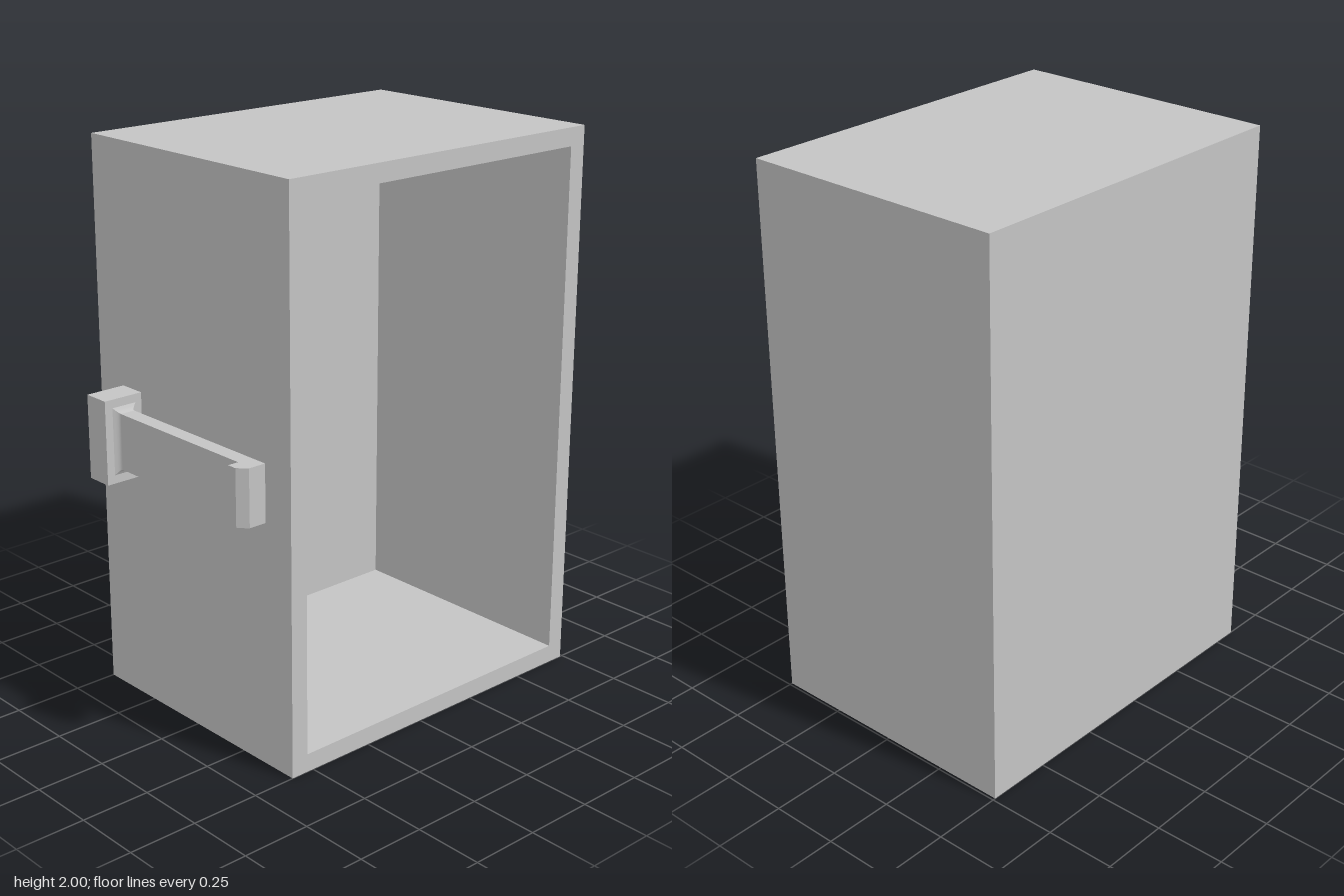
import * as THREE from 'three';

const grey = new THREE.MeshStandardMaterial({ color: 0xc4c4c4 });
grey.name = 'plain grey';

function part(name, geometry, parent) {
  const mesh = new THREE.Mesh(geometry, grey);
  mesh.name = name;
  parent.add(mesh);
  return mesh;
}

// Box given by its limits on each axis
function boxBetween(x0, x1, y0, y1, z0, z1, xSegments = 1) {
  return new THREE.BoxGeometry(x1 - x0, y1 - y0, z1 - z0, xSegments, 1, 1)
    .translate((x0 + x1) / 2, (y0 + y1) / 2, (z0 + z1) / 2);
}

// Drop the +x face; optionally turn the box inside out
function openBox(geometry, insideOut) {
  const index = Array.from(geometry.index.array).slice(6);
  if (insideOut) {
    index.reverse();
    const n = geometry.attributes.normal;
    for (let i = 0; i < n.count; i++) n.setXYZ(i, -n.getX(i), -n.getY(i), -n.getZ(i));
  }
  geometry.setIndex(index);
  geometry.clearGroups();
  return geometry;
}

function polygon(points, Type = THREE.Shape) {
  return new Type(points.map(([a, b]) => new THREE.Vector2(a, b)));
}

function rectangle(a0, a1, b0, b1) {
  return [[a0, b0], [a1, b0], [a1, b1], [a0, b1]];
}

export function createModel() {
  const model = new THREE.Group();
  model.name = 'openCabinet';

  // Cabinet: hollow box, open on its left side
  const W = 0.5, H = 2, F = 0.59, B = -0.74, T = 0.065;
  const cabinet = new THREE.Group();
  cabinet.name = 'cabinet';
  model.add(cabinet);
  part('outerShell', openBox(boxBetween(-W, W, 0, H, B, F), false), cabinet);
  part('innerLining', openBox(boxBetween(-W + T, W, T, H - T, B + T, F - T), true), cabinet);

  // Rim around the opening, drawn in (-z, y) and turned to face +x
  const rim = polygon(rectangle(-F, -B, 0, H));
  rim.holes.push(polygon(rectangle(-F + T, -B - T, T, H - T).reverse(), THREE.Path));
  part('openingRim', new THREE.ShapeGeometry(rim).rotateY(Math.PI / 2).translate(W, 0, 0), cabinet);

  // Handle: mounting block, flared root and hooked bar
  const handle = new THREE.Group();
  handle.name = 'handle';
  model.add(handle);
  part('handleBlock', boxBetween(-0.37, -0.27, 0.85, 1.15, F, 0.74), handle);

  // Bar outline in (x, -z), extruded upwards, with a chamfered lip at the tip
  const bar = polygon([
    [-0.25, -0.69], [0.365, -0.69], [0.365, -0.73], [0.40, -0.73],
    [0.43, -0.70], [0.43, -0.635], [-0.25, -0.635],
  ]);
  part('handleBar', new THREE.ExtrudeGeometry(bar, { depth: 0.2, bevelEnabled: false })
    .rotateX(-Math.PI / 2).translate(0, 0.9, 0), handle);

  // Flare: the bar section widens in a concave curve towards the block
  const flare = boxBetween(-0.27, -0.25, 0.9, 1.1, 0.635, 0.69, 4);
  const p = flare.attributes.position;
  for (let i = 0; i < p.count; i++) {
    const t = (-0.25 - p.getX(i)) / 0.02;
    const grow = 0.02 * t * t;
    p.setY(i, p.getY(i) + grow * Math.sign(p.getY(i) - 1));
    p.setZ(i, p.getZ(i) + grow * Math.sign(p.getZ(i) - 0.6625));
  }
  flare.computeVertexNormals();
  part('handleFlare', flare, handle);

  return model;
}
